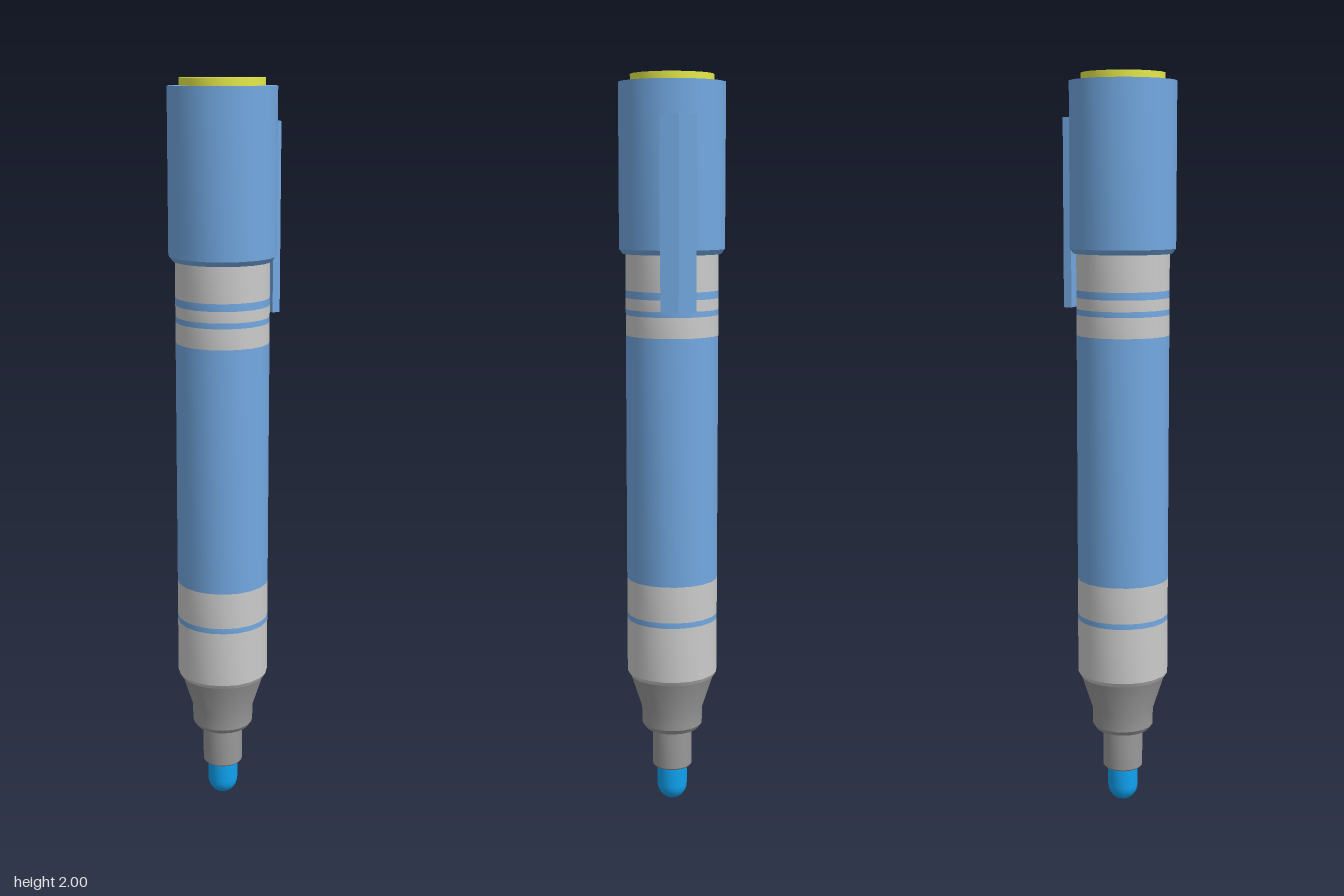
import * as THREE from 'three';
import { toCreasedNormals } from 'three/addons/utils/BufferGeometryUtils.js';

const SIDES = 20;
const AXIS_Z = 0.01; // the barrel sits slightly forward to balance the clip

const mat = (color) => new THREE.MeshStandardMaterial({ color });

export function createModel() {
  const group = new THREE.Group();
  const blue = mat(0x73a9e2);
  const grey = mat(0xcccccc);
  const darkGrey = mat(0x999999);
  const yellow = mat(0xe6ea4a);
  const nibBlue = mat(0x10a5f5);

  const add = (name, geometry, material) => {
    const mesh = new THREE.Mesh(geometry, material);
    mesh.name = name;
    group.add(mesh);
    return mesh;
  };

  // Turned part from [radius, height] pairs, listed bottom to top
  const turned = (name, profile, material) => {
    const points = profile.map(([r, y]) => new THREE.Vector2(r, y));
    const geometry = toCreasedNormals(new THREE.LatheGeometry(points, SIDES), 0.55);
    add(name, geometry, material).position.z = AXIS_Z;
  };

  // Nib with a rounded tip
  const nib = [];
  for (let i = 0; i <= 6; i++) {
    const a = (i / 6) * Math.PI / 2;
    nib.push([0.042 * Math.sin(a), 0.045 * (1 - Math.cos(a))]);
  }
  nib.push([0.042, 0.11]);
  turned('nib', nib, nibBlue);

  // Nib holder and tapered collar
  turned('nibHolder', [[0, 0.1], [0.05, 0.1], [0.055, 0.105], [0.055, 0.23]], darkGrey);
  turned('collar', [
    [0, 0.215], [0.075, 0.215], [0.084, 0.228], [0.085, 0.275], [0.116, 0.37],
  ], darkGrey);

  // Barrel: rounded lower edge, then alternating grey and blue bands
  const R = 0.125;
  turned('barrelEnd', [[0, 0.37], [0.118, 0.37], [R, 0.382]], grey);
  const bands = [0.382, 0.535, 0.55, 0.65, 1.32, 1.375, 1.39, 1.42, 1.44, 1.56];
  for (let i = 0; i < bands.length - 1; i++) {
    const isBlue = i % 2 === 1;
    turned(isBlue ? 'blueBand' : 'greyBand', [[R, bands[i]], [R, bands[i + 1]]], isBlue ? blue : grey);
  }

  // Cap with a chamfered mouth, and the end button
  turned('cap', [
    [0.12, 1.536], [0.132, 1.536], [0.142, 1.549], [0.142, 1.98], [0, 1.98],
  ], blue);
  turned('endButton', [[0.111, 1.975], [0.111, 2], [0, 2]], yellow);

  // Pocket clip: thin bent strip following two cap facets
  const section = new THREE.Shape([
    [-0.044, 0.125], [0, 0.132], [0.044, 0.125],
    [0.047, 0.147], [0, 0.154], [-0.047, 0.147],
  ].map(([x, y]) => new THREE.Vector2(x, y)));
  const clip = new THREE.ExtrudeGeometry(section, { depth: 0.5, bevelEnabled: false });
  clip.rotateX(-Math.PI / 2);
  add('clip', clip, blue).position.y = 1.39;

  return group;
}
